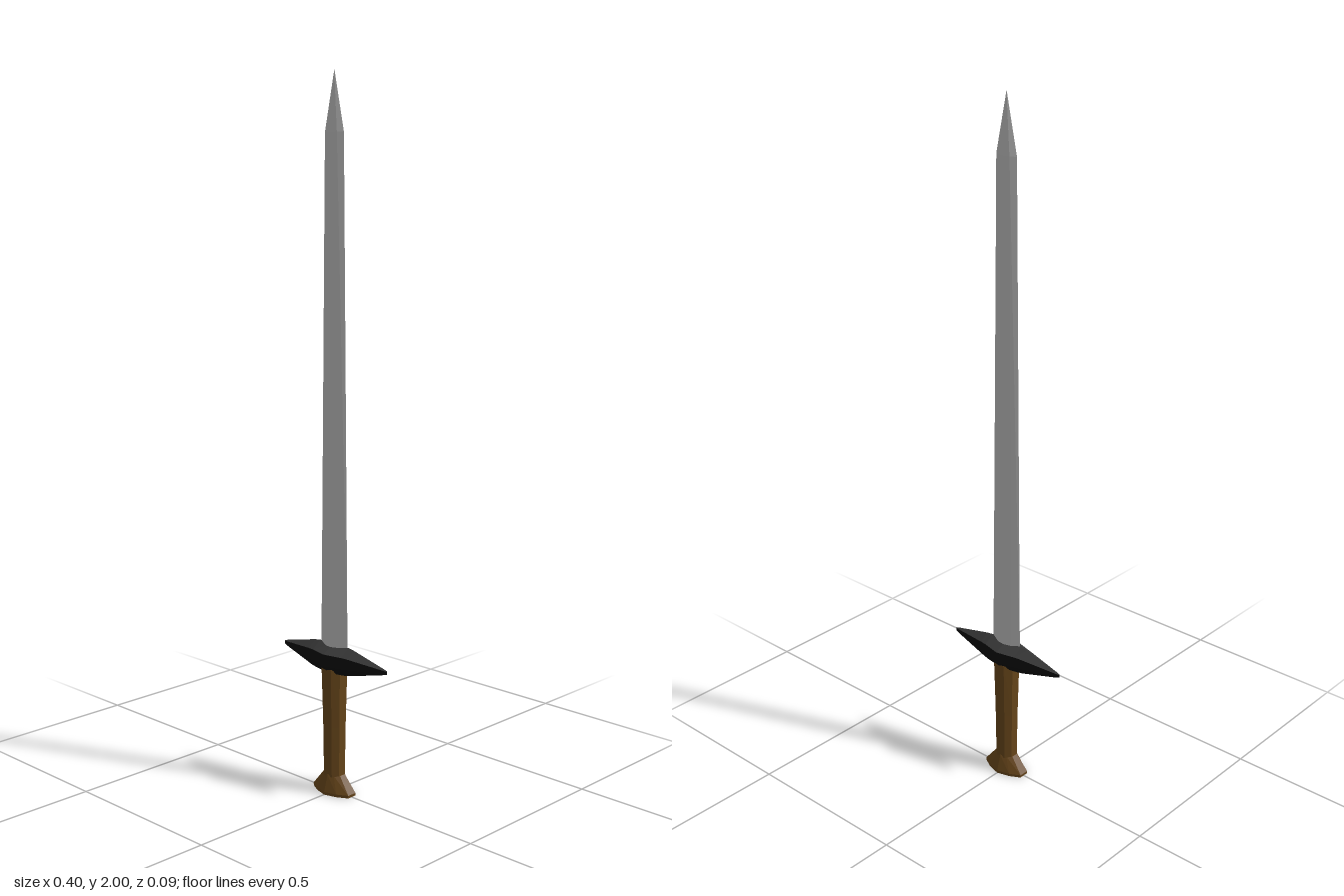
import * as THREE from 'three';

const steel = new THREE.MeshStandardMaterial({ color: 0xbcbcbc });
const darkIron = new THREE.MeshStandardMaterial({ color: 0x383838 });
const blackIron = new THREE.MeshStandardMaterial({ color: 0x0c0c0c });
const wood = new THREE.MeshStandardMaterial({ color: 0x66451a });
for (const m of [steel, darkIron, blackIron, wood]) m.flatShading = true;

// Skins a list of rings (arrays of [x, y, z]) and caps both ends
function loft(name, rings, material) {
  const pos = [];
  const n = rings[0].length;
  const last = rings[rings.length - 1];
  const tri = (a, b, c) => pos.push(...a, ...b, ...c);
  for (let i = 0; i < rings.length - 1; i++) {
    for (let j = 0; j < n; j++) {
      const k = (j + 1) % n;
      const a = rings[i], b = rings[i + 1];
      tri(a[j], b[j], b[k]);
      tri(a[j], b[k], a[k]);
    }
  }
  for (let j = 1; j < n - 1; j++) {
    tri(rings[0][0], rings[0][j], rings[0][j + 1]);
    tri(last[0], last[j + 1], last[j]);
  }
  const geo = new THREE.BufferGeometry();
  geo.setAttribute('position', new THREE.Float32BufferAttribute(pos, 3));
  geo.computeVertexNormals();
  const mesh = new THREE.Mesh(geo, material);
  mesh.name = name;
  return mesh;
}

// Horizontal ring: unit section scaled to half-width w and half-depth d
const flatRing = (section, y, w, d) => section.map(([x, z]) => [x * w, y, z * d]);

// Lens section with sharp edges and a central ridge
const lens = [[1, 0], [0.5, 0.68], [0, 1], [-0.5, 0.68], [-1, 0], [-0.5, -0.68], [0, -1], [0.5, -0.68]];
// Octagonal grip section
const octagon = [[1, 0.45], [0.5, 1], [-0.5, 1], [-1, 0.45], [-1, -0.45], [-0.5, -1], [0.5, -1], [1, -0.45]];
// Pommel section, pointed at front and back
const foot = [[1, 0.35], [0.55, 0.75], [0, 1], [-0.55, 0.75], [-1, 0.35],
  [-1, -0.35], [-0.55, -0.75], [0, -1], [0.55, -0.75], [1, -0.35]];

export function createModel() {
  const sword = new THREE.Group();
  sword.name = 'sword';

  // Blade: gentle taper, then a pointed tip
  sword.add(loft('blade', [
    [0.42, 0.051, 0.0145], [1.84, 0.035, 0.013], [2, 0.0005, 0.0005],
  ].map(([y, w, d]) => flatRing(lens, y, w, d)), steel));

  // Crossguard stations: x, half-depth, ridge height, side half-height, base half-height
  const half = [[0, 0.044, 0.039, 0.017, 0.04], [0.055, 0.03, 0.038, 0.016, 0.038],
    [0.075, 0.026, 0.035, 0.015, 0.035], [0.185, 0.005, 0.009, 0.005, 0.009], [0.199, 0.001, 0.005, 0.003, 0.005]];
  const stations = [...half.slice(1).reverse().map(([x, ...r]) => [-x, ...r]), ...half];
  const guard = (name, section, material) => loft(name, stations.map(([x, ...r]) =>
    section(...r).map(([z, y]) => [x, 0.397 + y, z])), material);

  // Ridged upper face of the crossguard
  sword.add(guard('crossguardTop', (d, top, side) => [[d, side], [0, top], [-d, side]], darkIron));

  // Black sides and underside of the crossguard
  sword.add(guard('crossguardBase', (d, top, side, base) => [
    [d, -side], [d, side], [-d, side], [-d, -side], [-d * 0.6, -base], [d * 0.6, -base],
  ], blackIron));

  // Grip: slightly slimmer toward the pommel
  sword.add(loft('grip', [
    [0.05, 0.03, 0.026], [0.2, 0.032, 0.028], [0.37, 0.036, 0.033],
  ].map(([y, w, d]) => flatRing(octagon, y, w, d)), wood));

  // Pommel: flared foot
  sword.add(loft('pommel', [
    [0, 0.068, 0.042], [0.008, 0.069, 0.042], [0.055, 0.032, 0.028],
  ].map(([y, w, d]) => flatRing(foot, y, w, d)), wood));

  return sword;
}
